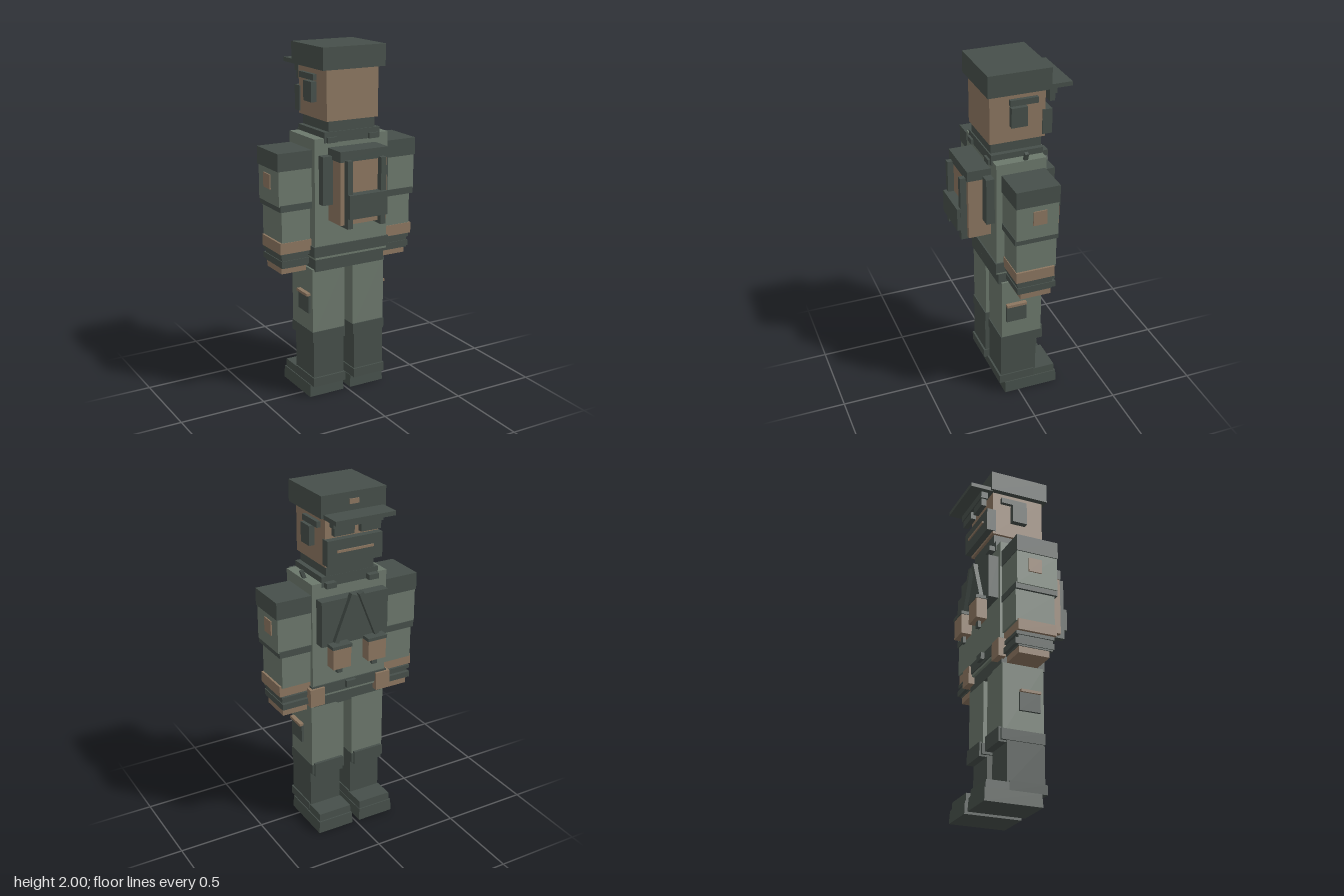
import * as THREE from 'three';

export function createModel() {
  const model = new THREE.Group();
  model.name = 'soldierFigure';
  const mat = (name, color) => {
    const m = new THREE.MeshStandardMaterial({ color });
    m.name = name;
    return m;
  };
  const dark = mat('darkGreyGreen', 0x464f4a);
  const green = mat('uniformGreen', 0x6c786c);
  const tan = mat('tan', 0x8c7660);

  // Box given by its bounds; flare widens the lower corners in x and z
  function box(name, m, x0, x1, y0, y1, z0, z1, flare = 0) {
    const geo = new THREE.BoxGeometry(x1 - x0, y1 - y0, z1 - z0);
    if (flare) {
      const p = geo.attributes.position;
      for (let i = 0; i < p.count; i++) {
        if (p.getY(i) > 0) continue;
        p.setX(i, p.getX(i) + Math.sign(p.getX(i)) * flare);
        p.setZ(i, p.getZ(i) + Math.sign(p.getZ(i)) * flare);
      }
      geo.computeVertexNormals();
    }
    const mesh = new THREE.Mesh(geo, m);
    mesh.name = name;
    mesh.position.set((x0 + x1) / 2, (y0 + y1) / 2, (z0 + z1) / 2);
    model.add(mesh);
    return mesh;
  }
  // The same box on both sides; bounds are for the +x side
  function pair(name, m, x0, x1, ...rest) {
    return [
      box(name + 'Left', m, x0, x1, ...rest),
      box(name + 'Right', m, -x1, -x0, ...rest),
    ];
  }

  // Head and cap
  box('head', tan, -0.16, 0.16, 1.605, 1.88, -0.172, 0.14);
  box('cap', dark, -0.193, 0.193, 1.88, 2, -0.193, 0.16);
  box('capVisor', dark, -0.178, 0.178, 1.876, 1.9, -0.315, -0.18);
  box('capBadge', tan, -0.028, 0.028, 1.935, 1.962, -0.199, -0.193);
  pair('earpiece', dark, 0.155, 0.193, 1.695, 1.805, -0.06, 0.03);
  pair('gogglesStrap', dark, 0.155, 0.182, 1.812, 1.845, -0.125, 0.032);

  // Goggles and mask
  box('gogglesBar', dark, -0.15, 0.15, 1.835, 1.878, -0.242, -0.2);
  pair('gogglesLens', dark, 0.02, 0.14, 1.79, 1.835, -0.235, -0.205);
  box('faceMask', dark, -0.166, 0.166, 1.62, 1.76, -0.21, -0.155);
  box('maskStripe', tan, -0.11, 0.11, 1.69, 1.703, -0.217, -0.21);

  // Neck, collar and clips
  box('neck', dark, -0.145, 0.145, 1.54, 1.605, -0.157, 0.13);
  box('collar', dark, -0.173, 0.173, 1.49, 1.548, -0.158, 0.137);
  pair('backCollarClip', dark, 0.1, 0.16, 1.49, 1.52, 0.13, 0.15);
  pair('frontCollarClip', dark, 0.1, 0.16, 1.49, 1.52, -0.192, -0.15);
  const antenna = box('antenna', dark, 0.21, 0.23, 1.5, 1.56, -0.05, -0.03);
  antenna.rotation.z = -0.35;

  // Torso, belt and hips
  box('torso', green, -0.23, 0.23, 0.84, 1.515, -0.155, 0.13);
  box('belt', dark, -0.238, 0.238, 0.855, 0.915, -0.162, 0.138);
  box('hips', dark, -0.22, 0.22, 0.765, 0.855, -0.14, 0.115);
  box('beltBuckle', dark, -0.03, 0.03, 0.87, 0.91, -0.183, -0.16);
  pair('beltPouch', tan, 0.165, 0.255, 0.8, 0.905, -0.175, -0.13);

  // Chest rig: plate, slanted straps and two pouches
  box('chestPlate', dark, -0.205, 0.205, 1.17, 1.43, -0.215, -0.15);
  for (const s of [1, -1]) {
    const strap = box('chestStrap', dark, -0.014, 0.014, 1.18, 1.46, -0.24, -0.21);
    strap.position.x = s * 0.075;
    strap.rotation.z = s * 0.38;
  }
  pair('chestPouch', tan, 0.055, 0.165, 1.05, 1.17, -0.268, -0.205);
  pair('chestPouchFlap', dark, 0.05, 0.17, 1.168, 1.187, -0.272, -0.2);
  pair('chestPouchBuckle', dark, 0.095, 0.125, 1.012, 1.055, -0.242, -0.222);

  // Backpack
  box('backPlate', dark, -0.205, 0.205, 1.157, 1.425, 0.125, 0.177);
  box('backpackBody', tan, -0.145, 0.145, 1.057, 1.405, 0.13, 0.258);
  box('backpackLid', dark, -0.149, 0.149, 1.405, 1.463, 0.13, 0.263);
  box('backpackPocket', dark, -0.118, 0.118, 1.1, 1.232, 0.25, 0.313);
  pair('backpackStrap', dark, 0.088, 0.12, 1.042, 1.415, 0.255, 0.293);
  pair('backpackUnderStrap', dark, 0.088, 0.12, 1.042, 1.058, 0.16, 0.256);

  // Arms
  pair('shoulderPad', dark, 0.225, 0.436, 1.355, 1.453, -0.147, 0.1);
  pair('upperArm', green, 0.23, 0.43, 1.16, 1.356, -0.143, 0.096);
  pair('sleevePatch', tan, 0.429, 0.437, 1.24, 1.322, -0.075, 0.002);
  pair('elbowBand', dark, 0.232, 0.424, 1.13, 1.167, -0.148, 0.1);
  pair('forearm', green, 0.237, 0.41, 0.945, 1.132, -0.143, 0.086);
  pair('cuff', tan, 0.232, 0.422, 0.89, 0.953, -0.132, 0.09);

  // Hands
  pair('glove', dark, 0.245, 0.405, 0.803, 0.892, -0.125, 0.075);
  pair('gloveWristBand', dark, 0.24, 0.412, 0.866, 0.886, -0.14, 0.082);
  pair('gloveKnuckleBand', dark, 0.242, 0.41, 0.812, 0.846, -0.145, 0.08);
  pair('hand', tan, 0.25, 0.4, 0.766, 0.805, -0.122, 0.056);

  // Legs and thigh pockets
  pair('thigh', green, 0.027, 0.232, 0.37, 0.775, -0.14, 0.1);
  pair('thighPocket', dark, 0.225, 0.246, 0.512, 0.617, -0.045, 0.075);
  pair('thighPocketFlap', tan, 0.225, 0.257, 0.615, 0.63, -0.043, 0.075);

  // Boots
  pair('bootTop', dark, 0.026, 0.234, 0.342, 0.403, -0.146, 0.106);
  pair('kneePad', dark, 0.04, 0.22, 0.332, 0.414, -0.156, -0.11);
  pair('bootShaft', dark, 0.036, 0.228, 0.1, 0.345, -0.112, 0.104);
  pair('bootCuff', dark, 0.029, 0.235, 0.072, 0.125, -0.1, 0.115);
  pair('bootToe', dark, 0.032, 0.232, 0.06, 0.117, -0.23, 0.08, 0.003);
  pair('bootSole', dark, 0.026, 0.24, 0, 0.072, -0.239, 0.08, 0.004);

  return model;
}
